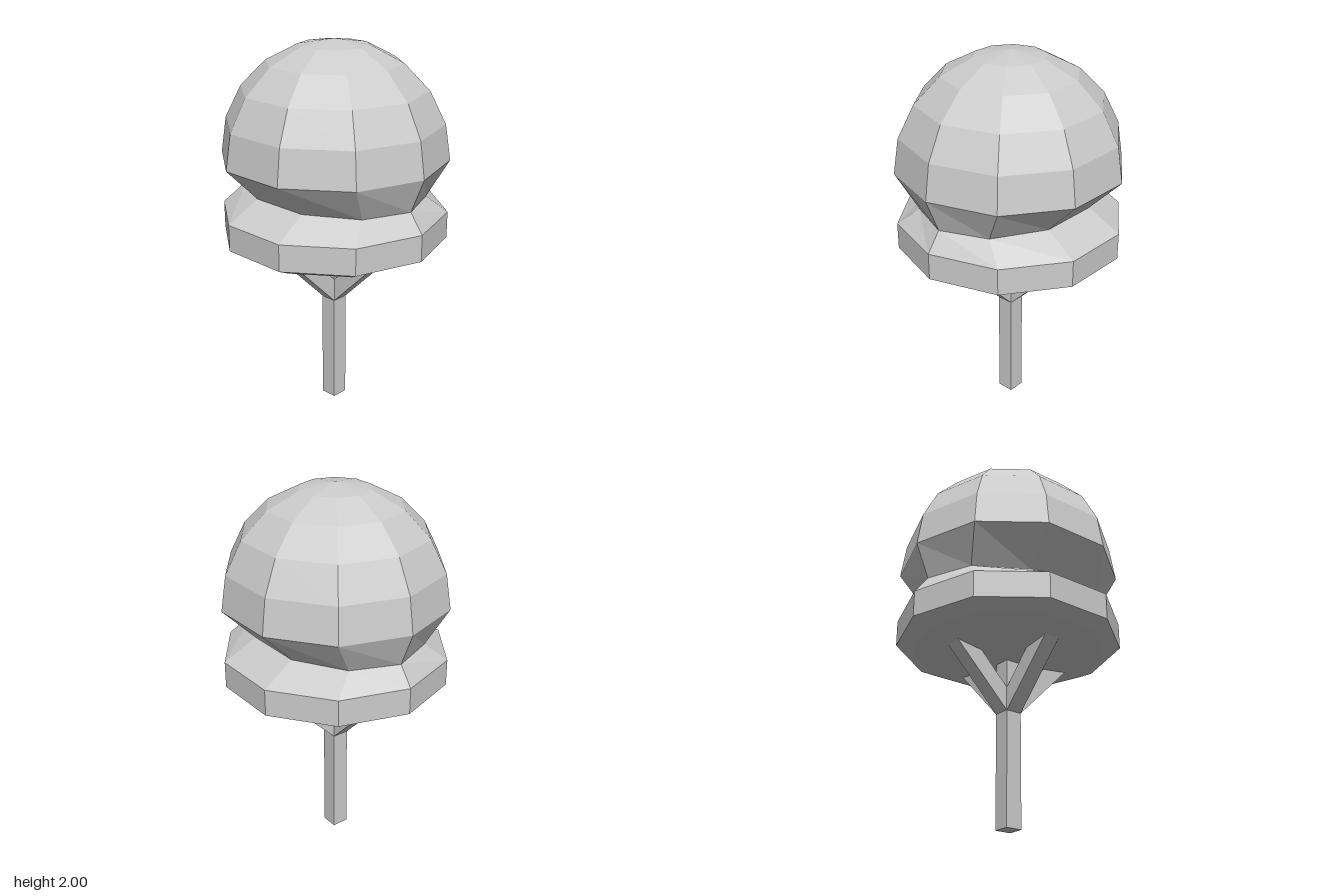
import * as THREE from 'three';

const material = new THREE.MeshStandardMaterial({ color: 0xcccccc, flatShading: true });

function addMesh(parent, name, geometry) {
  const mesh = new THREE.Mesh(geometry, material);
  mesh.name = name;
  parent.add(mesh);
  return mesh;
}

export function createModel() {
  const group = new THREE.Group();
  group.name = 'tree';

  // Trunk: square post reaching into the canopy
  const trunkHeight = 0.9;
  const trunk = new THREE.BoxGeometry(0.09, trunkHeight, 0.09);
  trunk.translate(0, trunkHeight / 2, 0);
  addMesh(group, 'trunk', trunk);

  // Canopy: ten-sided profile with shallow underside, rim, pinched waist and dome
  const radius = 0.595, waistY = 1.22;
  const profile = [
    [0, 0.875], [0.18, 0.884], [0.34, 0.905], [0.51, 0.938], [radius, 0.98],
    [radius, 1.12], [0.52, waistY],
  ].map(([r, y]) => new THREE.Vector2(r, y));
  for (let i = 0; i <= 5; i++) {
    const a = (i / 5) * Math.PI / 2;
    profile.push(new THREE.Vector2(i === 5 ? 0 : radius * Math.cos(a), 1.4 + 0.6 * Math.sin(a)));
  }
  const canopy = new THREE.LatheGeometry(profile, 10, Math.PI / 2);
  // The waist is pinched more from front to back than sideways
  const pos = canopy.attributes.position;
  for (let i = 0; i < pos.count; i++) {
    if (Math.abs(pos.getY(i) - waistY) < 0.01) pos.setZ(i, pos.getZ(i) * 0.79);
  }
  canopy.computeVertexNormals();
  addMesh(group, 'canopy', canopy);

  // Four diagonal branches between trunk and canopy
  const side = new THREE.Shape([
    new THREE.Vector2(0.035, 0.59), new THREE.Vector2(0.365, 0.92),
    new THREE.Vector2(0.235, 0.92), new THREE.Vector2(0.035, 0.715),
  ]);
  const branch = new THREE.ExtrudeGeometry(side, { depth: 0.088, bevelEnabled: false });
  branch.translate(0, 0, -0.044);
  ['leftBranch', 'backBranch', 'rightBranch', 'frontBranch'].forEach((name, i) => {
    addMesh(group, name, branch).rotation.y = i * Math.PI / 2;
  });

  return group;
}
